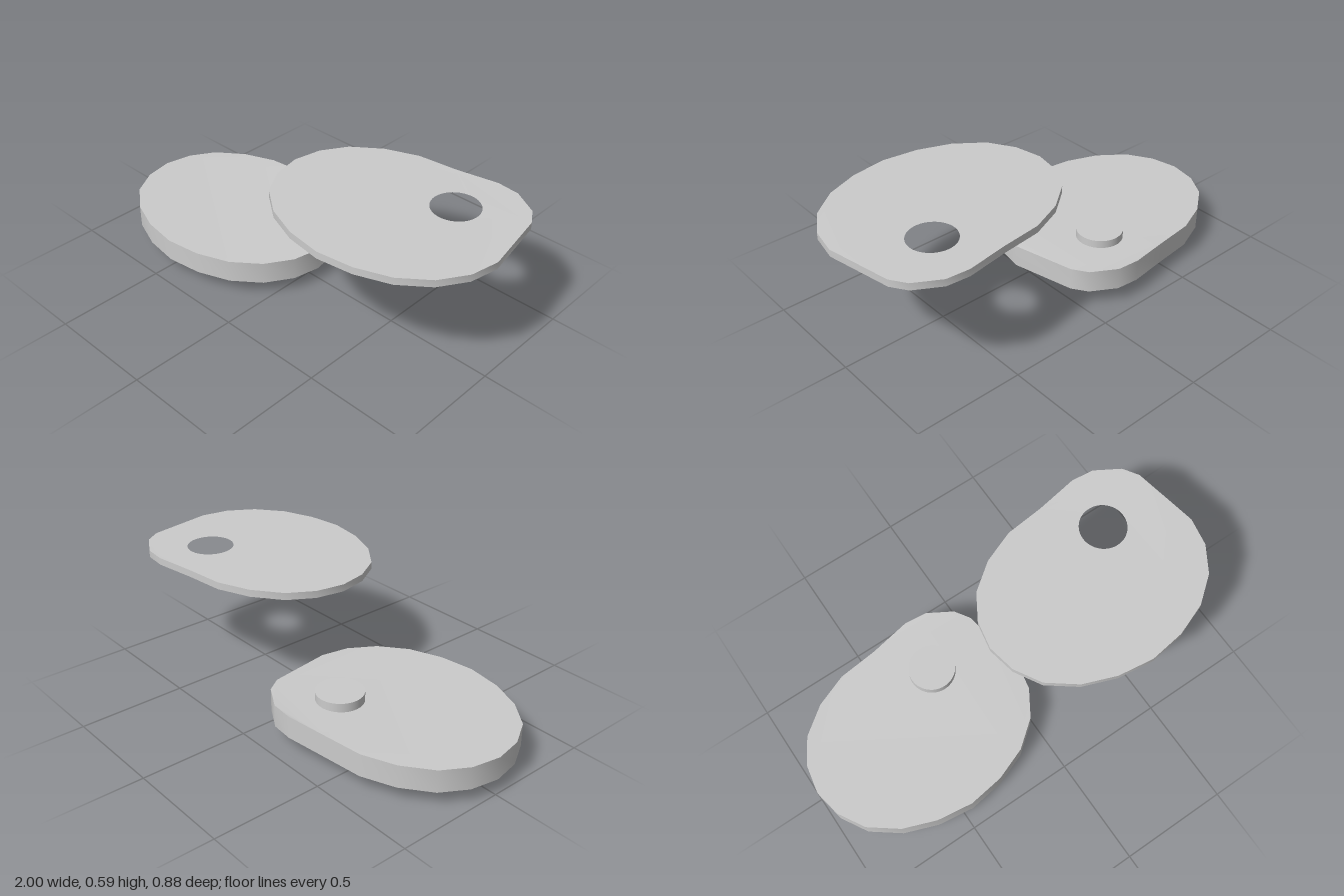
import * as THREE from 'three';
import { toCreasedNormals } from 'three/addons/utils/BufferGeometryUtils.js';

// Shared outline [x, z], relative to each plate's own centre
const OUTLINE = [
  [-0.535, 0.01], [-0.51, -0.12], [-0.44, -0.235], [-0.315, -0.33], [-0.165, -0.39],
  [0.02, -0.41], [0.215, -0.443], [0.32, -0.433], [0.435, -0.365], [0.48, -0.295],
  [0.535, 0.01], [0.51, 0.14], [0.435, 0.26], [0.315, 0.355], [0.165, 0.412],
  [0, 0.435], [-0.165, 0.412], [-0.315, 0.355], [-0.44, 0.26], [-0.51, 0.14],
];
const PIN = { x: 0.193, z: -0.18, radius: 0.107 };
const OFFSET = 0.4625;

// Slab with the shared outline; its back corner bends up slightly past a diagonal fold
function slabGeometry(bottom, thickness, lift, withHole) {
  const shape = new THREE.Shape(OUTLINE.map(([x, z]) => new THREE.Vector2(x, -z)));
  if (withHole) {
    shape.holes.push(new THREE.Path().absarc(PIN.x, -PIN.z, PIN.radius, 0, Math.PI * 2, true));
  }
  const geo = new THREE.ExtrudeGeometry(shape, { depth: thickness, bevelEnabled: false, curveSegments: 32 });
  geo.rotateX(-Math.PI / 2).translate(0, bottom, 0);
  const pos = geo.attributes.position;
  for (let i = 0; i < pos.count; i++) {
    const past = 0.632 * (pos.getX(i) - 0.02) - 0.775 * (pos.getZ(i) + 0.41);
    pos.setY(i, pos.getY(i) + lift * THREE.MathUtils.clamp(past / 0.15, 0, 1));
  }
  return toCreasedNormals(geo, Math.PI / 5);
}

export function createModel() {
  const group = new THREE.Group();
  const material = new THREE.MeshStandardMaterial({ color: 0xcccccc });
  const add = (name, geometry, x, y, z) => {
    const mesh = new THREE.Mesh(geometry, material);
    mesh.name = name;
    mesh.position.set(x, y, z);
    group.add(mesh);
  };

  // Thick base with a pin through it
  add('base', slabGeometry(0.068, 0.105, 0.011, false), -OFFSET, 0, 0);
  add('pin', new THREE.CylinderGeometry(PIN.radius, PIN.radius, 0.215, 48), PIN.x - OFFSET, 0.1075, PIN.z);

  // Thin cover plate with a matching hole
  add('coverPlate', slabGeometry(0.55, 0.033, 0.003, true), OFFSET, 0, 0);

  return group;
}
